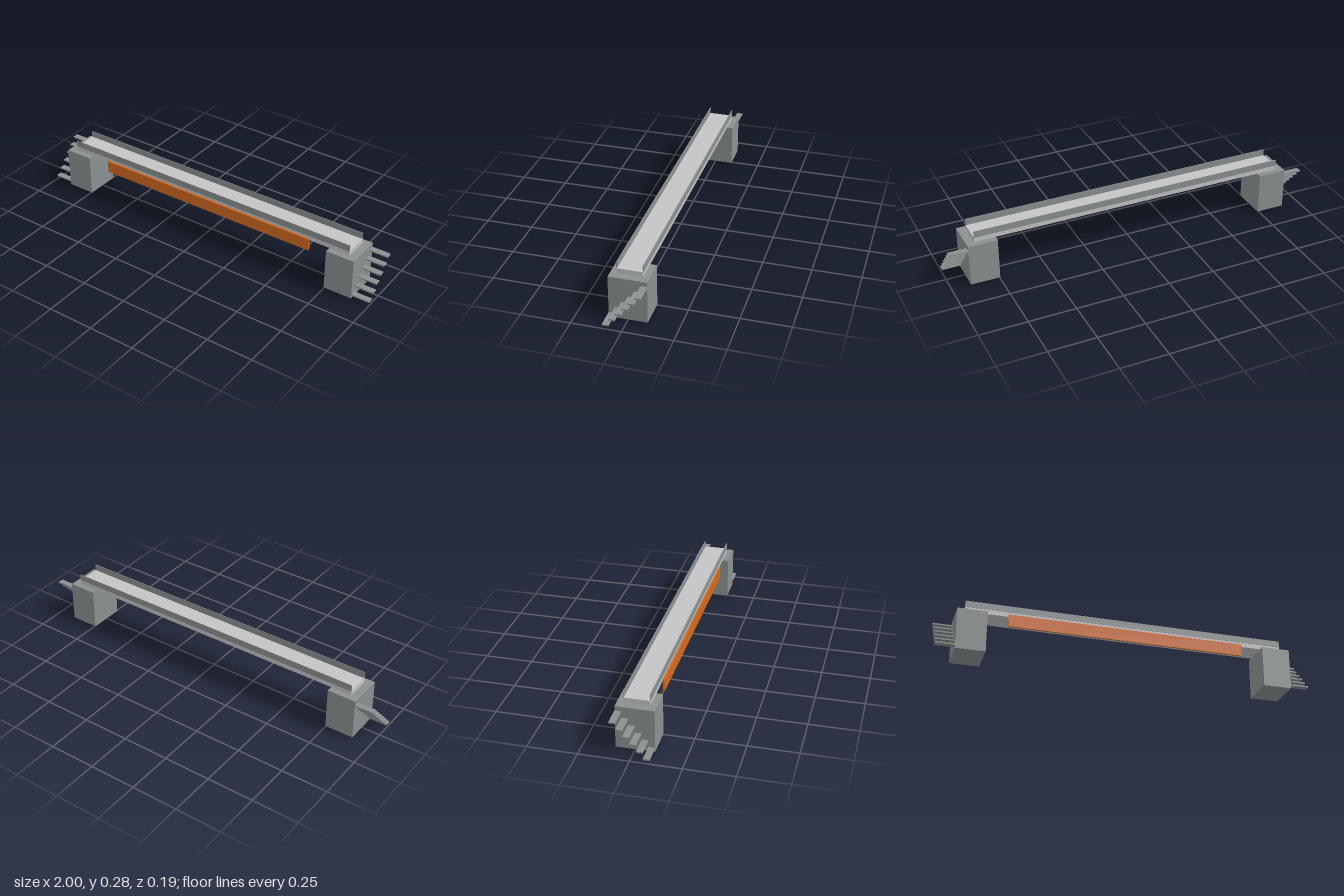
import * as THREE from 'three';

const material = (name, color) => {
  const m = new THREE.MeshStandardMaterial({ color });
  m.name = name;
  return m;
};

export function createModel() {
  const model = new THREE.Group();
  model.name = 'footbridge';
  const concrete = material('concrete grey', 0x8a9190);
  const paving = material('light paving', 0xc4c4c7);
  const orange = material('banner orange', 0xd2691e);

  // Box given by its limits on each axis
  const box = (parent, name, mat, [x0, x1], [y0, y1], [z0, z1]) => {
    const mesh = new THREE.Mesh(new THREE.BoxGeometry(x1 - x0, y1 - y0, z1 - z0), mat);
    mesh.position.set((x0 + x1) / 2, (y0 + y1) / 2, (z0 + z1) / 2);
    mesh.name = name;
    parent.add(mesh);
  };

  // Walkway with a thin parapet along each edge
  box(model, 'deck', paving, [-0.858, 0.858], [0.223, 0.248], [-0.064, 0.064]);
  for (const s of [-1, 1]) {
    box(model, s > 0 ? 'frontRailing' : 'backRailing', concrete,
      [-0.858, 0.858], [0.248, 0.283], [s * 0.064 - 0.0016, s * 0.064 + 0.0016]);
  }

  // Banner hung on the front edge
  box(model, 'banner', orange, [-0.635, 0.635], [0.166, 0.232], [0.064, 0.0735]);

  // End towers, each with six treads climbing from front to back
  const treads = 6, width = 0.191 / treads;
  for (const s of [-1, 1]) {
    const end = new THREE.Group();
    end.name = s > 0 ? 'leftEnd' : 'rightEnd';
    const span = (a, b) => (s > 0 ? [a, b] : [-b, -a]);
    box(end, 'tower', concrete, span(0.746, 0.9), [0, 0.223], [-0.0955, 0.0955]);
    for (let i = 0; i < treads; i++) {
      const y = 0.0205 + i * 0.035, z = 0.0955 - i * width;
      box(end, 'tread', concrete, span(0.9, 1), [y - 0.0038, y + 0.0038], [z - width, z]);
    }
    model.add(end);
  }
  return model;
}
